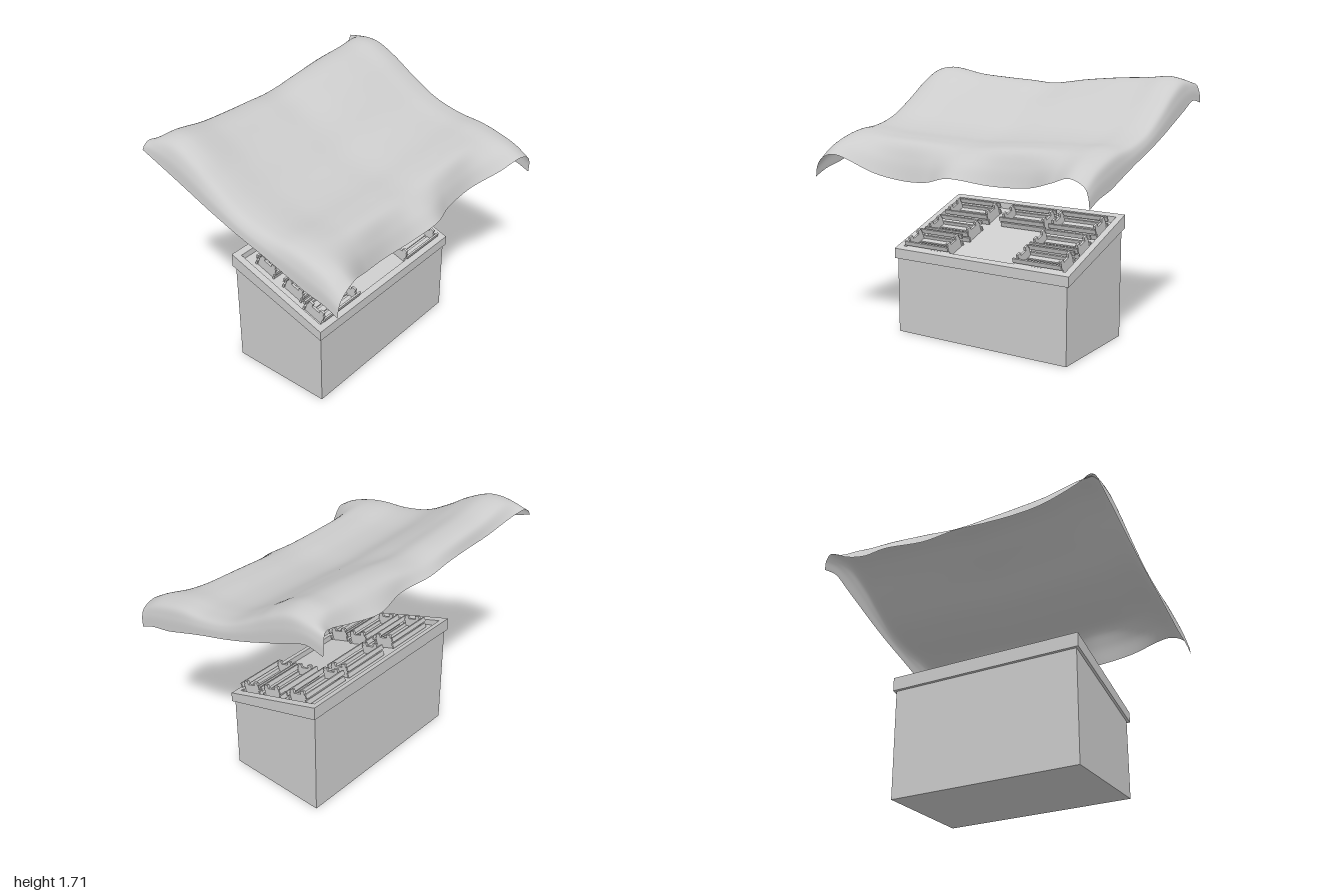
import * as THREE from 'three';

const grey = new THREE.MeshStandardMaterial({ color: 0xcccccc });
const clothMat = new THREE.MeshStandardMaterial({ color: 0xcccccc, side: THREE.DoubleSide });
const SLOPE = 0.34;
const rimTop = x => 0.695 - SLOPE * x;
const rimBottom = x => 0.617 - 0.308 * x;
const floorY = x => rimTop(x) - 0.04;

// Outline in x/y extruded along z, centred on z
function slab(name, points, depth, z = 0) {
  const shape = new THREE.Shape(points.map(p => new THREE.Vector2(...p)));
  const geo = new THREE.ExtrudeGeometry(shape, { depth, bevelEnabled: false });
  geo.translate(0, 0, z - depth / 2);
  const mesh = new THREE.Mesh(geo, grey);
  mesh.name = name;
  return mesh;
}

function box(name, w, h, d, x, y, z) {
  const mesh = new THREE.Mesh(new THREE.BoxGeometry(w, h, d), grey);
  mesh.position.set(x, y, z);
  mesh.name = name;
  return mesh;
}

// Sloping piece of the rim between two x positions
const rimOutline = (a, b) => [[a, rimBottom(a)], [b, rimBottom(b)], [b, rimTop(b)], [a, rimTop(a)]];

// Open slatted crate; its base is at y = 0
function createCrate() {
  const crate = new THREE.Group();
  crate.name = 'crate';
  const w = 0.345;
  const endOutline = [
    [-0.07, 0], [0.07, 0], [0.07, 0.07], [0.062, 0.07], [0.062, 0.093], [0.03, 0.093], [0.03, 0.07],
    [-0.03, 0.07], [-0.03, 0.093], [-0.062, 0.093], [-0.062, 0.07], [-0.07, 0.07],
  ];
  for (const s of [-1, 1]) {
    crate.add(slab('crateEnd', endOutline, 0.016, s * (w / 2 - 0.02)));
    // two stacked slats on each long side
    crate.add(box('lowerSideSlat', 0.012, 0.032, w, s * 0.076, 0.022, 0));
    crate.add(box('upperSideSlat', 0.012, 0.03, w, s * 0.084, 0.066, 0));
  }
  for (const x of [-0.05, 0, 0.05]) crate.add(box('floorSlat', 0.036, 0.01, w - 0.03, x, 0.012, 0));
  return crate;
}

function createStand() {
  const stand = new THREE.Group();
  stand.name = 'displayStand';
  stand.add(slab('body', [[-0.352, 0], [0.352, 0], [0.352, floorY(0.352)], [-0.352, floorY(-0.352)]], 1.285));

  // rim around the sloping top
  for (const s of [-1, 1]) stand.add(slab('sideRim', rimOutline(-0.365, 0.365), 0.045, s * 0.6375));
  stand.add(slab('highRim', rimOutline(-0.365, -0.325), 1.23));
  stand.add(slab('lowRim', rimOutline(0.325, 0.365), 1.23));

  // crates: [x, z], middle column only has one
  const spots = [
    [-0.18, 0.393], [-0.18, -0.05], [-0.18, -0.428],
    [0.045, 0.393], [0.045, -0.428],
    [0.235, 0.418], [0.235, -0.422],
  ];
  for (const [x, z] of spots) {
    const crate = createCrate();
    crate.position.set(x, floorY(x), z);
    crate.rotation.z = -Math.atan(SLOPE);
    stand.add(crate);
  }
  stand.position.set(-0.015, 0, 0.02);
  stand.rotation.y = -0.009;
  return stand;
}

// Draped cloth lofted through cross-sections along z
function createCanopy() {
  // x, height on top, height along the side hem
  const ridge = [
    [-0.63, 1.69, 1.55], [-0.5, 1.7, 1.5], [-0.35, 1.635, 1.44], [-0.2, 1.535, 1.38],
    [0, 1.42, 1.31], [0.2, 1.37, 1.25], [0.38, 1.362, 1.19], [0.5, 1.34, 1.15],
  ];
  // z, hem blend, sag, high edge x/y, low edge x/y
  const sections = [
    [-0.975, 1, 0, -0.75, 1.53, 0.745, 1.08],
    [-0.968, 0.5, 0, -0.75, 1.6, 0.75, 1.15],
    [-0.945, 0.16, 0, -0.735, 1.65, 0.75, 1.2],
    [-0.85, 0, 0, -0.695, 1.62, 0.742, 1.238],
    [-0.7, 0, 0.012, -0.7, 1.58, 0.69, 1.19],
    [-0.5, 0, 0.022, -0.735, 1.56, 0.605, 1.13],
    [-0.25, 0, 0.045, -0.685, 1.56, 0.61, 1.118],
    [0, 0, 0.075, -0.7, 1.56, 0.685, 1.15],
    [0.2, 0, 0.065, -0.68, 1.56, 0.635, 1.1],
    [0.4, 0, 0.055, -0.67, 1.56, 0.605, 1.087],
    [0.6, 0, 0.04, -0.675, 1.57, 0.63, 1.12],
    [0.85, 0, 0, -0.7, 1.62, 0.725, 1.232],
    [0.94, 0.14, 0, -0.725, 1.64, 0.735, 1.2],
    [0.978, 0.5, 0, -0.73, 1.62, 0.735, 1.15],
    [0.992, 1, 0, -0.735, 1.59, 0.735, 1.08],
  ];
  const NU = 60, NV = 110;
  const rows = sections.map(([z, k, sag, hx, hy, lx, ly]) => {
    const pts = ridge.map(([x, top, hem]) => new THREE.Vector3(
      x, THREE.MathUtils.lerp(top, hem, k) - sag * (x < -0.3 ? 1 : 0.55), z));
    const last = pts[pts.length - 1];
    pts.unshift(new THREE.Vector3(hx, hy, z));
    pts.push(new THREE.Vector3(last.x + (lx - last.x) * 0.6, last.y + (ly - last.y) * 0.45, z));
    pts.push(new THREE.Vector3(lx, ly, z));
    return new THREE.CatmullRomCurve3(pts).getPoints(NU);
  });

  const geo = new THREE.PlaneGeometry(1, 1, NU, NV);
  const pos = geo.attributes.position;
  for (let i = 0; i <= NU; i++) {
    new THREE.CatmullRomCurve3(rows.map(r => r[i])).getPoints(NV)
      .forEach((p, j) => pos.setXYZ(j * (NU + 1) + i, p.x, p.y, p.z));
  }
  geo.computeVertexNormals();
  const canopy = new THREE.Mesh(geo, clothMat);
  canopy.name = 'clothCanopy';
  return canopy;
}

export function createModel() {
  const model = new THREE.Group();
  model.name = 'marketStall';
  model.add(createStand(), createCanopy());
  return model;
}
